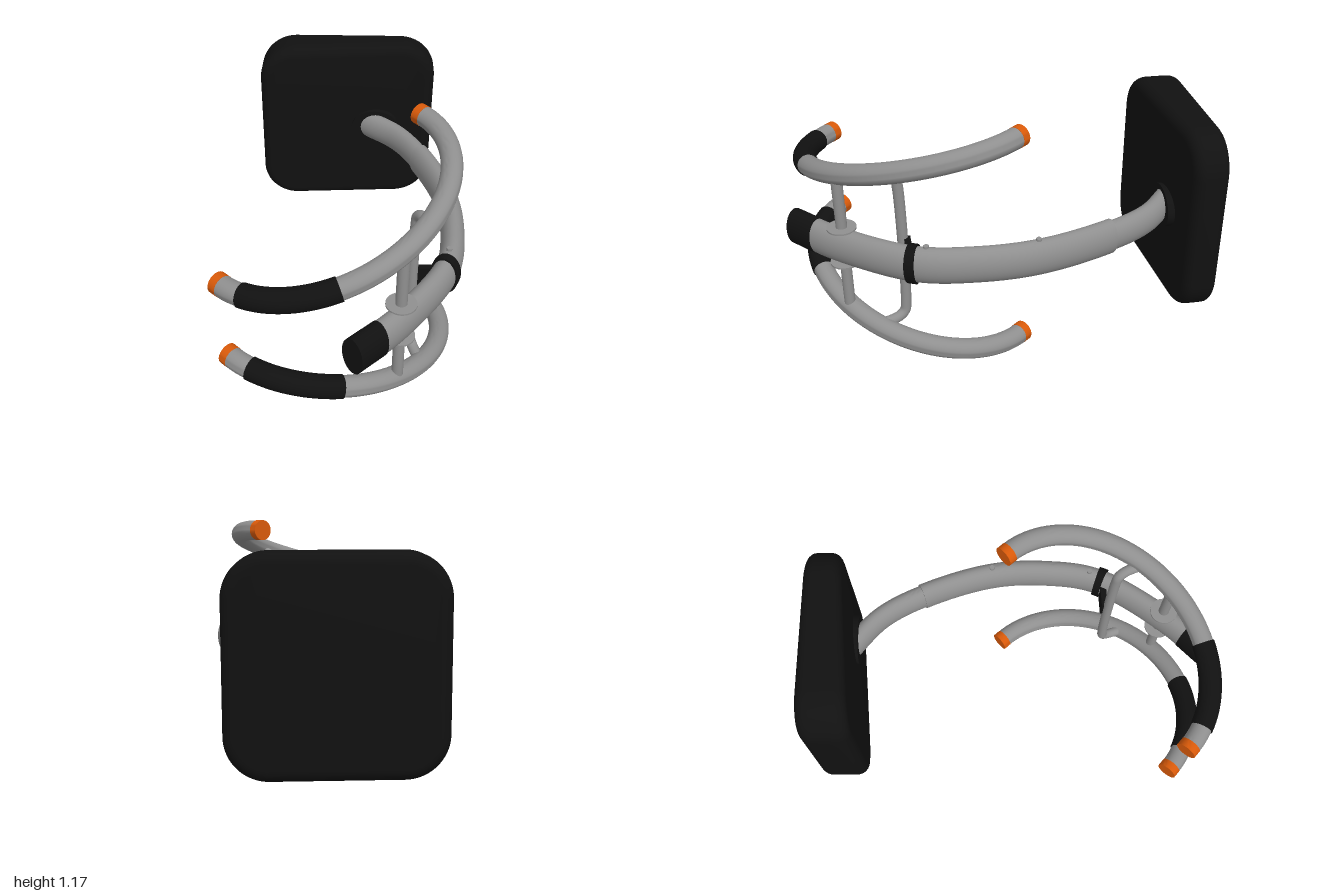
import * as THREE from 'three';
import { toCreasedNormals } from 'three/addons/utils/BufferGeometryUtils.js';
import { ParametricGeometry } from 'three/addons/geometries/ParametricGeometry.js';

const MID_Y = 0.592;

function material(name, color) {
  const m = new THREE.MeshStandardMaterial({ color });
  m.name = name;
  return m;
}

// Closed oval bar along part of a curve lying in the xz plane
function sweep(curve, t0, t1, halfSide, halfUp, rows = 40) {
  const up = new THREE.Vector3(0, 1, 0);
  const geo = new ParametricGeometry((u, v, target) => {
    const row = Math.round(v * (rows + 2));
    const size = row === 0 || row === rows + 2 ? 0 : 1; // end rows close the bar
    const k = Math.min(Math.max((row - 1) / rows, 0), 1);
    const t = t0 + (t1 - t0) * k;
    const side = new THREE.Vector3().crossVectors(up, curve.getTangent(t)).normalize();
    const a = u * Math.PI * 2;
    target.copy(curve.getPoint(t))
      .addScaledVector(side, Math.cos(a) * halfSide * size)
      .addScaledVector(up, Math.sin(a) * halfUp * size);
  }, 32, rows + 2);
  return toCreasedNormals(geo, 0.8);
}

function flatCurve(points) {
  return new THREE.CatmullRomCurve3(points.map(([x, z]) => new THREE.Vector3(x, 0, z)));
}

// Rounded cushion, thicker at its -x end
function padGeometry() {
  const bevel = 0.055, w = 0.955 / 2 - bevel, h = 0.96 / 2 - bevel, r = 0.14;
  const s = new THREE.Shape();
  s.moveTo(-w + r, -h);
  s.lineTo(w - r, -h);
  s.absarc(w - r, -h + r, r, -Math.PI / 2, 0);
  s.lineTo(w, h - r);
  s.absarc(w - r, h - r, r, 0, Math.PI / 2);
  s.lineTo(-w + r, h);
  s.absarc(-w + r, h - r, r, Math.PI / 2, Math.PI);
  s.lineTo(-w, -h + r);
  s.absarc(-w + r, -h + r, r, Math.PI, Math.PI * 1.5);
  const geo = new THREE.ExtrudeGeometry(s, {
    depth: 0.09, bevelEnabled: true, bevelSize: bevel, bevelThickness: bevel,
    bevelSegments: 6, curveSegments: 10,
  });
  geo.translate(0, 0, bevel);
  const p = geo.attributes.position;
  for (let i = 0; i < p.count; i++) {
    p.setZ(i, p.getZ(i) / 0.2 * (0.207 - 0.086 * p.getX(i)));
  }
  return toCreasedNormals(geo, 0.7);
}

export function createModel() {
  const grey = material('grey metal', 0x8f8f8f);
  const black = material('black rubber', 0x111111);
  const orange = material('orange plastic', 0xd95a0a);
  const model = new THREE.Group();

  const add = (name, geo, mat, x = 0, y = 0, z = 0, parent = model) => {
    const mesh = new THREE.Mesh(geo, mat);
    mesh.name = name;
    mesh.position.set(x, y, z);
    parent.add(mesh);
    return mesh;
  };

  // Curved main arm: outer sleeve, inner tube, end cap and strap
  const arm = flatCurve([
    [-0.68, 0.855], [-0.4, 0.85], [0, 0.765], [0.22, 0.61],
    [0.41, 0.4], [0.575, 0.08], [0.645, -0.17], [0.63, -0.42],
  ]);
  add('outerArm', sweep(arm, 0.05, 0.725, 0.057, 0.09, 60), grey, 0, MID_Y);
  add('innerArm', sweep(arm, 0.68, 1, 0.052, 0.077), grey, 0, MID_Y);
  add('armEndCap', sweep(arm, 0, 0.08, 0.06, 0.094, 10), black, 0, MID_Y);
  add('armStrap', sweep(arm, 0.272, 0.288, 0.068, 0.1, 4), black, 0, MID_Y);
  const clip = add('strapClip', new THREE.BoxGeometry(0.13, 0.1, 0.03), black, -0.09, MID_Y, 0.715);
  clip.rotation.y = -0.75;
  for (const [x, z] of [[0.41, 0.4], [0.04, 0.74]]) {
    add('armPin', new THREE.CylinderGeometry(0.013, 0.013, 0.03, 16), grey, x, MID_Y + 0.085, z);
  }

  // Back pad, turned 45 degrees, with the collar the arm plugs into
  const padGroup = new THREE.Group();
  padGroup.name = 'backPad';
  padGroup.rotation.y = -Math.PI / 4;
  model.add(padGroup);
  add('cushion', padGeometry(), black, 0.057, MID_Y, -0.902, padGroup);
  const collar = add('padCollar', new THREE.CylinderGeometry(1, 1, 0.06, 32), black,
    0.215, MID_Y, -0.715, padGroup);
  collar.rotation.x = Math.PI / 2;
  collar.scale.set(0.13, 1, 0.1);

  // Two tilted U-shaped handles, mirrored above and below the arm
  const bow = flatCurve(Array.from({ length: 25 }, (_, i) => {
    const a = Math.PI * i / 24;
    return [-0.62 * Math.cos(a), 0.318 + 0.512 * Math.sin(a)];
  }));
  for (const side of [1, -1]) {
    const handle = new THREE.Group();
    handle.name = side > 0 ? 'upperHandle' : 'lowerHandle';
    handle.position.set(side > 0 ? -0.345 : -0.328, MID_Y + side * 0.375, 0);
    handle.rotation.z = side * Math.PI / 12;
    model.add(handle);
    add('handleTube', sweep(bow, 0.025, 0.975, 0.049, 0.049, 60), grey, 0, 0, 0, handle);
    add('handleGrip', sweep(bow, 0.085, 0.325, 0.054, 0.054, 24), black, 0, 0, 0, handle);
    add('leftTip', sweep(bow, 0.975, 1, 0.05, 0.05, 3), orange, 0, 0, 0, handle);
    add('rightTip', sweep(bow, 0, 0.025, 0.05, 0.05, 3), orange, 0, 0, 0, handle);
    add('postFlange', new THREE.CylinderGeometry(0.068, 0.068, 0.008, 32), grey,
      -0.38, MID_Y + side * 0.092, 0.84);
  }

  // Pivot post through the arm, joining both handles
  add('pivotPost', new THREE.CylinderGeometry(0.026, 0.026, 0.74, 24), grey, -0.38, MID_Y, 0.84);

  // Bent brace bar behind the arm
  const brace = [[-0.2, 0.395, 0.81], [-0.165, 0.385, 0.735], [-0.153, 0.36, 0.703], [-0.15, 0.31, 0.695]];
  const bracePoints = [
    ...brace.map(([x, y, z]) => new THREE.Vector3(x, MID_Y + y, z)),
    ...brace.reverse().map(([x, y, z]) => new THREE.Vector3(x, MID_Y - y, z)),
  ];
  add('braceBar', new THREE.TubeGeometry(new THREE.CatmullRomCurve3(bracePoints), 80, 0.025, 20), grey);

  return model;
}
